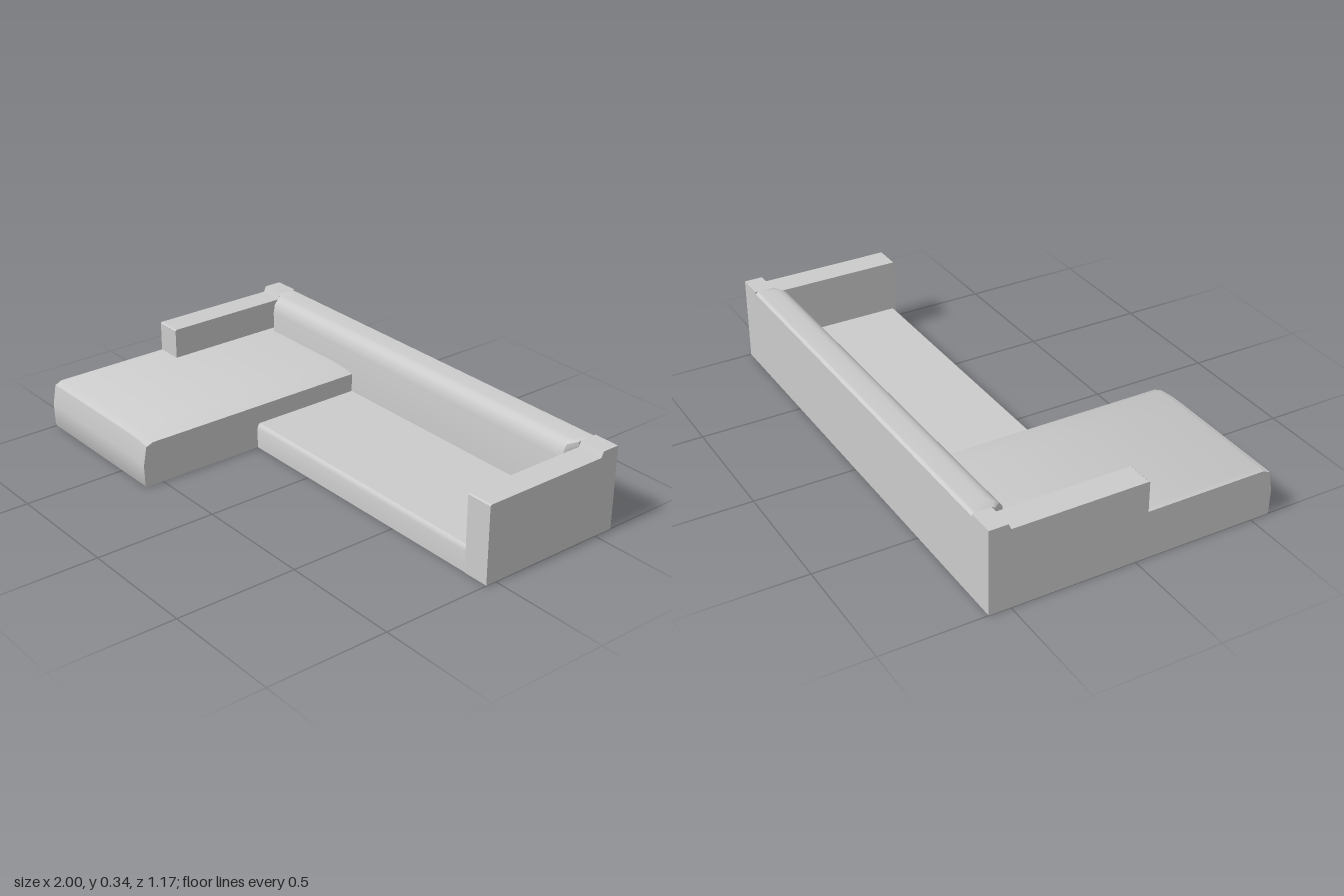
import * as THREE from 'three';
import { toCreasedNormals } from 'three/addons/utils/BufferGeometryUtils.js';

const material = new THREE.MeshStandardMaterial({ color: 0xcccccc });

// Sweeps a side profile of [z, y] points from x0 to x1, then bends it by an optional rule
function sweep(name, profile, x0, x1, steps = 1, rule) {
  const shape = new THREE.Shape(profile.map(([z, y]) => new THREE.Vector2(-z, y)));
  const geometry = new THREE.ExtrudeGeometry(shape, { depth: x1 - x0, steps, bevelEnabled: false });
  geometry.rotateY(Math.PI / 2).translate(x0, 0, 0);
  if (rule) {
    const pos = geometry.attributes.position;
    const v = new THREE.Vector3();
    for (let i = 0; i < pos.count; i++) {
      rule(v.fromBufferAttribute(pos, i));
      pos.setXYZ(i, v.x, v.y, v.z);
    }
  }
  const mesh = new THREE.Mesh(toCreasedNormals(geometry, 0.6), material);
  mesh.name = name;
  return mesh;
}

export function createModel() {
  const sofa = new THREE.Group();
  sofa.name = 'cornerSofa';

  // Backrest with a rolled front edge, its ends tucked in beside the arms
  const back = [
    [-0.585, 0], [-0.585, 0.335], [-0.575, 0.345], [-0.505, 0.345], [-0.485, 0.342],
    [-0.467, 0.332], [-0.454, 0.315], [-0.448, 0.28], [-0.447, 0.1], [-0.447, 0],
  ];
  sofa.add(sweep('backrest', back, -0.89, 0.89, 64, (v) => {
    if (Math.abs(v.x) > 0.88) v.z = Math.min(v.z, -0.5);
  }));

  // Arms with a raised post at the back corner; the left one rests on the chaise
  const armProfile = (bottom) => [
    [-0.585, 0], [-0.585, 0.345], [-0.51, 0.345], [-0.5, 0.322],
    [0.04, 0.322], [0.045, 0.317], [0.045, bottom], [-0.5, bottom], [-0.5, 0],
  ];
  sofa.add(sweep('leftArm', armProfile(0.001), 0.89, 1));
  sofa.add(sweep('rightArm', armProfile(0.185), -1, -0.89));

  // Low seat with a softened front edge
  const seat = [[-0.5, 0], [-0.5, 0.105], [0.03, 0.105], [0.038, 0.098], [0.042, 0.085], [0.042, 0]];
  sofa.add(sweep('seat', seat, -0.34, 0.89));

  // Raised chaise: leaning front, top rounding down toward the seat
  const chaise = [
    [-0.5, 0], [-0.5, 0.196], [0.54, 0.196], [0.555, 0.188],
    [0.568, 0.184], [0.583, 0.1], [0.58, 0.01], [0.575, 0],
  ];
  sofa.add(sweep('chaise', chaise, -1, -0.328, 24, (v) => {
    const t = Math.max(0, (v.x + 0.5) / 0.172);
    v.y *= 1 - 0.07 * t ** 3;
  }));

  return sofa;
}
